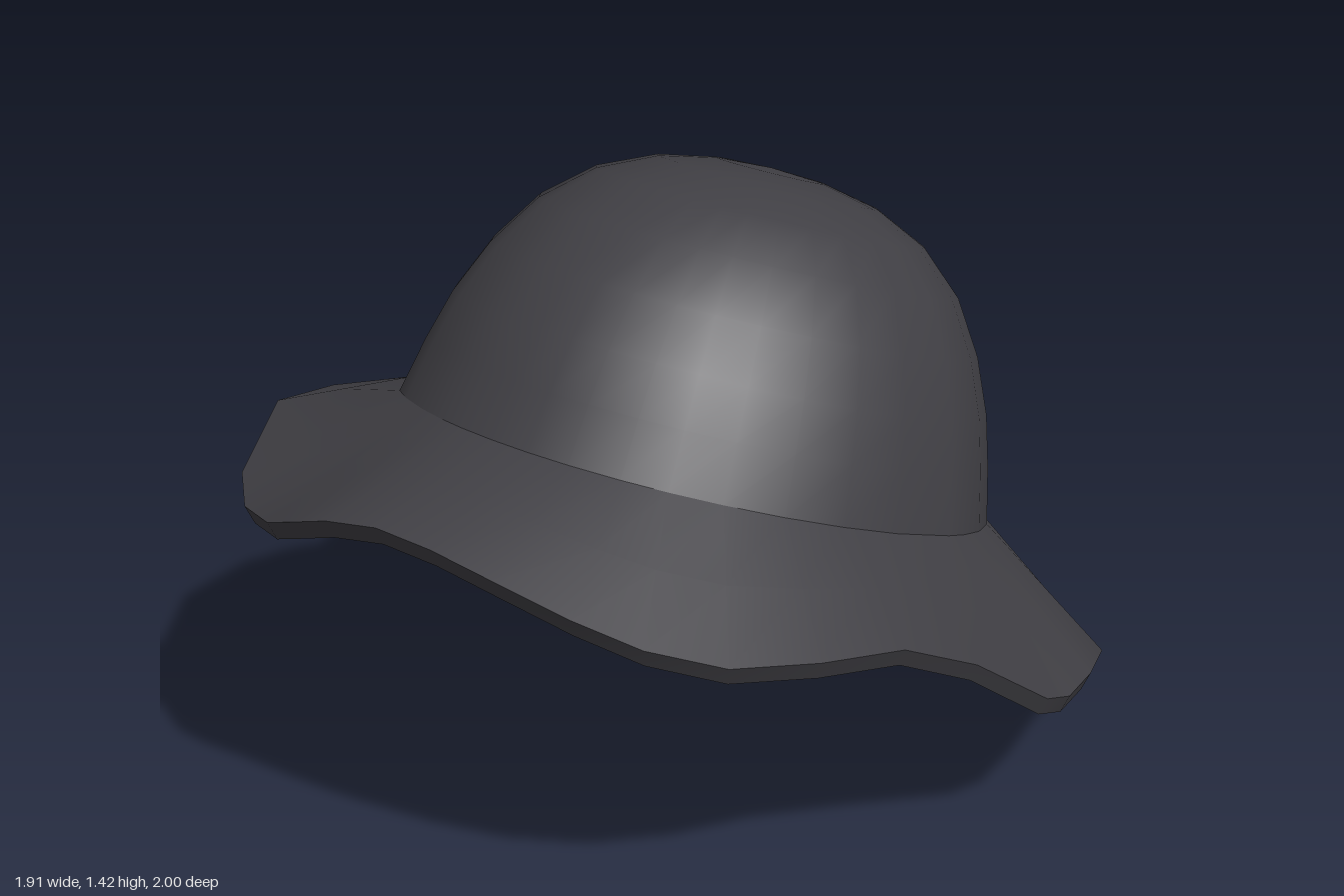
import * as THREE from 'three';

// lower rim of the wavy brim, from the front round by the left side: x, y, z
const RIM = [
  [-0.02, 0.89, 0.99], [0.12, 0.88, 0.98], [0.26, 0.845, 0.955], [0.42, 0.785, 0.9],
  [0.55, 0.73, 0.83], [0.68, 0.685, 0.72], [0.8, 0.675, 0.57], [0.88, 0.655, 0.39],
  [0.93, 0.55, 0.19], [0.953, 0.36, -0.07], [0.945, 0.315, -0.18], [0.91, 0.295, -0.33],
  [0.83, 0.245, -0.52], [0.73, 0.14, -0.65], [0.64, 0.07, -0.73], [0.53, 0.05, -0.81],
  [0.4, 0.08, -0.9], [0.24, 0.115, -0.96], [0.1, 0.09, -0.995], [-0.02, 0.04, -1],
  [-0.18, 0.01, -0.975], [-0.32, 0, -0.93], [-0.46, 0.05, -0.87], [-0.6, 0.12, -0.8],
  [-0.75, 0.21, -0.69], [-0.86, 0.29, -0.54], [-0.93, 0.39, -0.34], [-0.96, 0.48, -0.12],
  [-0.95, 0.6, 0.06], [-0.9, 0.71, 0.23], [-0.83, 0.775, 0.48], [-0.65, 0.75, 0.77],
  [-0.55, 0.73, 0.86], [-0.4, 0.765, 0.935], [-0.28, 0.82, 0.98], [-0.16, 0.865, 0.995],
].map((p) => new THREE.Vector3(...p));

// crown profile: radius, height above the sweatband
const CROWN = [
  [0.748, 0], [0.715, 0.13], [0.679, 0.245], [0.62, 0.37], [0.535, 0.49],
  [0.42, 0.583], [0.28, 0.642], [0.14, 0.668], [0, 0.675],
];

// one ring of the tilted crown, its points lined up with the rim points
const crownRing = (r, v) => RIM.map((p) => {
  const a = Math.atan2(p.x + 0.01, p.z);
  const x = 0.895 * r * Math.sin(a) - 0.015;
  const u = r * Math.cos(a) - 0.06 * v * v;
  return new THREE.Vector3(x, 0.725 + 0.37 * u + 0.93 * v - 0.02 * x, -0.065 + 0.93 * u - 0.37 * v);
});

const mixRings = (a, b, t) => a.map((p, i) => p.clone().lerp(b[i], t));

// closed rings joined into a smooth skin
function loft(rings) {
  const n = RIM.length;
  const index = [];
  for (let i = 0; i < rings.length - 1; i++) {
    for (let j = 0; j < n; j++) {
      const k = (j + 1) % n;
      const a = i * n + j, b = i * n + k, c = (i + 1) * n + k, d = (i + 1) * n + j;
      index.push(a, b, c, a, c, d);
    }
  }
  const geometry = new THREE.BufferGeometry().setFromPoints(rings.flat());
  geometry.setIndex(index);
  geometry.computeVertexNormals();
  return geometry;
}

export function createModel() {
  const hat = new THREE.Group();
  hat.name = 'bucketHat';
  const felt = new THREE.MeshStandardMaterial({ color: 0x403f44 });
  felt.name = 'charcoal felt';

  const add = (name, rings) => {
    const mesh = new THREE.Mesh(loft(rings), felt);
    mesh.name = name;
    hat.add(mesh);
  };

  const crown = CROWN.map(([r, v]) => crownRing(r, v));
  const rimTop = RIM.map((p) => new THREE.Vector3(p.x, p.y + 0.045, p.z));
  const rimBottom = RIM.map((p) => new THREE.Vector3(p.x * 0.98, p.y, p.z * 0.98));
  const band = crownRing(0.725, -0.025);

  // outside
  add('crown', crown);
  add('brimTop', [rimTop, mixRings(rimTop, crown[0], 0.5), crown[0]]);
  add('brimEdge', [rimBottom, rimTop]);

  // underside, closed across the opening of the crown
  add('underside', [
    crownRing(0, -0.025), crownRing(0.4, -0.025), band, mixRings(band, rimBottom, 0.5), rimBottom,
  ]);
  return hat;
}
